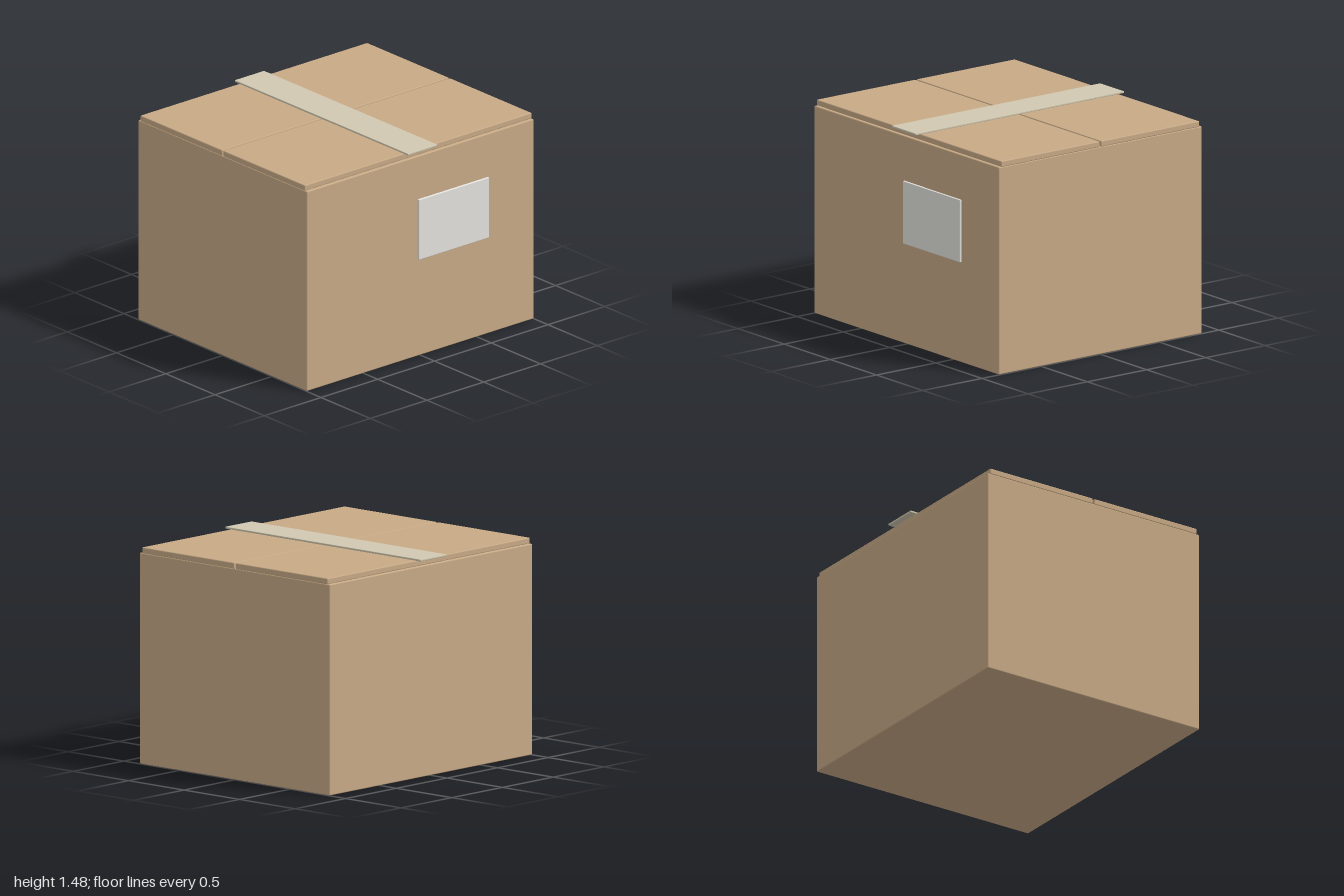
import * as THREE from 'three';
import { RoundedBoxGeometry } from 'three/addons/geometries/RoundedBoxGeometry.js';

const cardboard = new THREE.MeshStandardMaterial({ color: 0xc8aa86 });
const tapeMaterial = new THREE.MeshStandardMaterial({ color: 0xd0c8b0 });
const paper = new THREE.MeshStandardMaterial({ color: 0xe4e3de });

// Softly rounded slab given by its minimum and maximum corners
function slab(name, min, max, radius, material) {
  const size = max.map((v, i) => v - min[i]);
  const mesh = new THREE.Mesh(new RoundedBoxGeometry(...size, 2, radius), material);
  mesh.position.set(...max.map((v, i) => (v + min[i]) / 2));
  mesh.name = name;
  return mesh;
}

export function createModel() {
  const model = new THREE.Group();
  model.name = 'cardboardBox';

  // Closed carton body
  model.add(slab('body', [-1, 0, -0.857], [1, 1.43, 0.857], 0.008, cardboard));

  // Two top flaps meeting at a narrow seam
  model.add(slab('frontFlap', [-1, 1.428, 0.006], [1, 1.469, 0.836], 0.007, cardboard));
  model.add(slab('backFlap', [-1, 1.428, -0.836], [1, 1.469, -0.006], 0.007, cardboard));

  // Packing tape across the flaps, overhanging front and back
  model.add(slab('tape', [-0.13, 1.468, -0.88], [0.13, 1.482, 0.88], 0.004, tapeMaterial));

  // Blank shipping label on the front
  model.add(slab('label', [-0.025, 0.69, 0.853], [0.595, 1.122, 0.871], 0.005, paper));

  return model;
}
